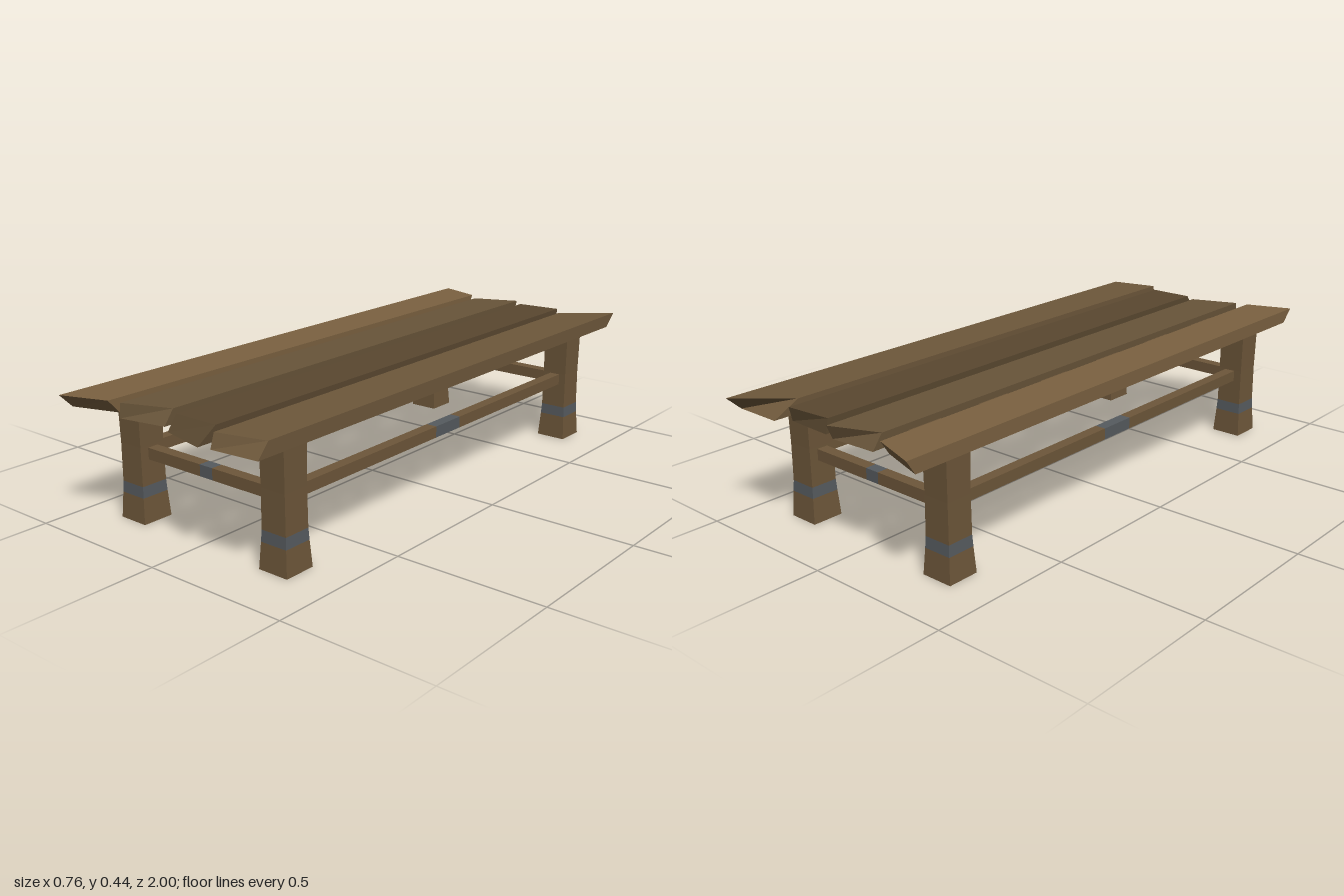
import * as THREE from 'three';

const mat = (color) => new THREE.MeshStandardMaterial({ color, flatShading: true, roughness: 1 });
const WOOD = mat(0x6e573a);
const BAND = mat(0x565b5f);

// Unit box whose corners are moved by rule(sx, sy, sz), each sign being -1 or 1
function block(name, material, rule) {
  const geo = new THREE.BoxGeometry(2, 2, 2);
  const p = geo.attributes.position;
  for (let i = 0; i < p.count; i++) {
    p.setXYZ(i, ...rule(Math.sign(p.getX(i)), Math.sign(p.getY(i)), Math.sign(p.getZ(i))));
  }
  geo.computeVertexNormals();
  const mesh = new THREE.Mesh(geo, material);
  mesh.name = name;
  return mesh;
}

// Top plank with roughly sawn ends; each end lists z at top left, top right, bottom left, bottom right
function plank({ x0, x1, back, front, color }) {
  return block('plank', mat(color), (sx, sy, sz) => {
    const end = sz > 0 ? front : back;
    return [
      sx < 0 ? x0 : x1,
      sy > 0 ? 0.44 : 0.394,
      end[(sy > 0 ? 0 : 2) + (sx > 0 ? 1 : 0)],
    ];
  });
}

// Leg: stacked square sections that flare at the foot, with a flush painted band
function leg(x, z) {
  const g = new THREE.Group();
  g.name = 'leg';
  const rings = [[0, 0.054], [0.085, 0.0485], [0.122, 0.0465], [0.25, 0.0455], [0.396, 0.0475]];
  for (let i = 0; i < rings.length - 1; i++) {
    const isBand = i === 1;
    g.add(block(isBand ? 'legBand' : 'legSection', isBand ? BAND : WOOD, (sx, sy, sz) => {
      const [y, r] = rings[sy > 0 ? i + 1 : i];
      return [sx * r, y, sz * r];
    }));
  }
  g.position.set(x, 0, z);
  return g;
}

// Rail along local x with a painted band in the middle
function rail(name, half, band) {
  const g = new THREE.Group();
  g.name = name;
  const cuts = [-half, -band, band, half];
  for (let i = 0; i < 3; i++) {
    g.add(block(i === 1 ? 'railBand' : 'railSection', i === 1 ? BAND : WOOD, (sx, sy, sz) =>
      [cuts[sx > 0 ? i + 1 : i], sy * 0.019, sz * 0.019]));
  }
  return g;
}

export function createModel() {
  const model = new THREE.Group();
  model.name = 'bench';

  // Seat planks
  [
    { x0: -0.38, x1: -0.224, back: [-0.98, -0.93, -0.95, -0.90], front: [0.995, 0.94, 0.95, 0.9], color: 0x7c6241 },
    { x0: -0.18, x1: -0.022, back: [-0.885, -0.95, -0.92, -0.93], front: [0.93, 0.87, 0.935, 0.905], color: 0x685439 },
    { x0: 0.02, x1: 0.178, back: [-0.91, -0.925, -0.92, -0.915], front: [0.895, 0.895, 0.93, 0.965], color: 0x5a4830 },
    { x0: 0.218, x1: 0.38, back: [-0.86, -1.0, -0.95, -0.95], front: [0.94, 0.90, 0.955, 0.94], color: 0x6e583b },
  ].forEach((p) => model.add(plank(p)));

  // Cross slats beneath the planks
  for (let i = 0; i < 6; i++) {
    const z = -0.723 + i * 0.281;
    model.add(block('crossSlat', WOOD, (sx, sy, sz) =>
      [-0.004 + sx * 0.221, sy > 0 ? 0.419 : 0.386, z + sz * 0.062]));
  }

  // Legs and the rails joining them
  for (const s of [-1, 1]) {
    for (const x of [-0.302, 0.299]) model.add(leg(x, s * 0.761));

    const endRail = rail('endRail', 0.258, 0.026);
    endRail.position.set(0, 0.224, s * 0.758);
    model.add(endRail);

    const sideRail = rail('sideRail', 0.72, 0.066);
    sideRail.rotation.y = Math.PI / 2;
    sideRail.position.set(s * 0.3, 0.228, 0);
    model.add(sideRail);
  }
  return model;
}
